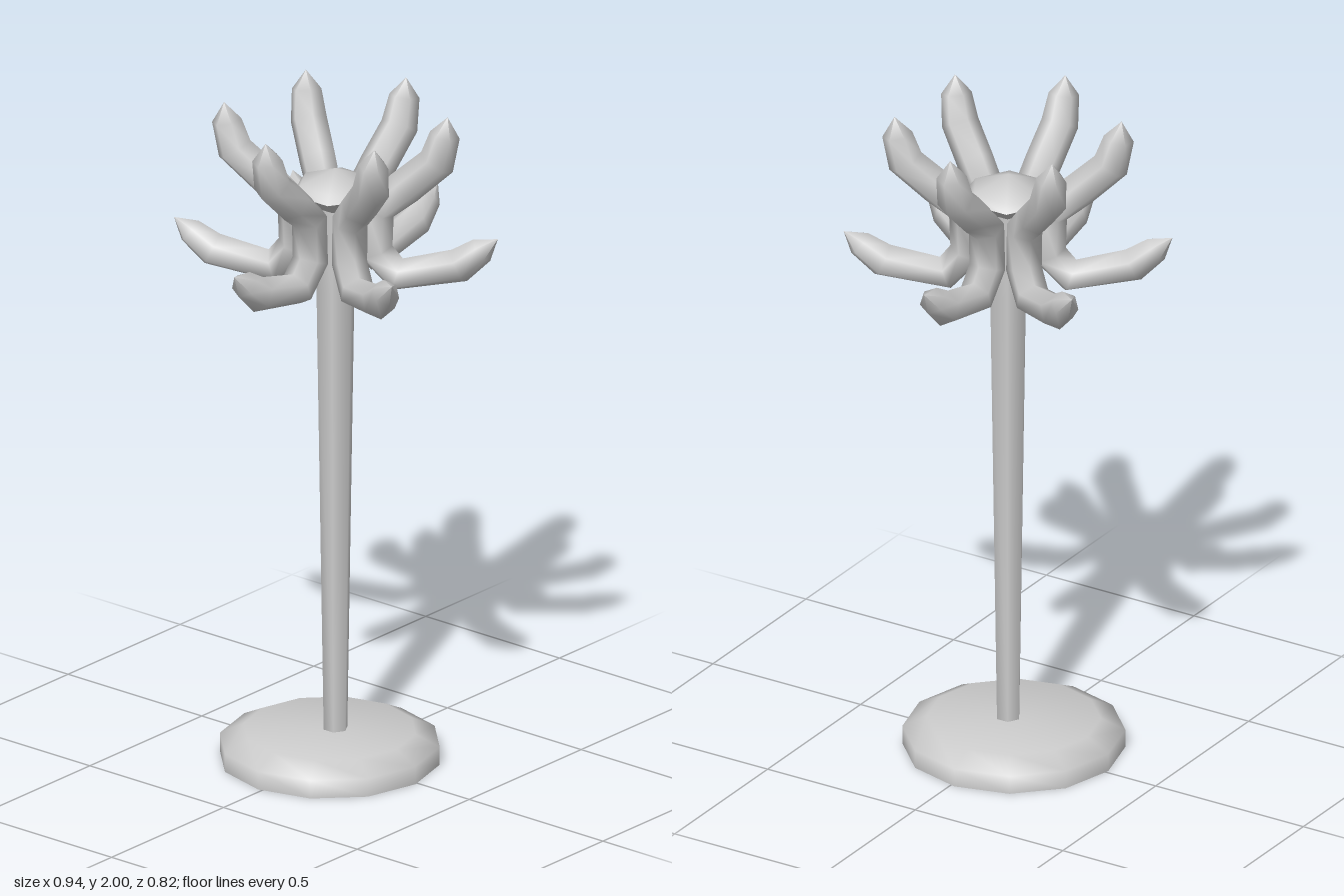
import * as THREE from 'three';
import { toCreasedNormals } from 'three/addons/utils/BufferGeometryUtils.js';

const material = new THREE.MeshStandardMaterial({ color: 0xcccccc });
const SIDES = 6;

function lathe(name, profile, sides, crease) {
  const points = profile.map(([r, y]) => new THREE.Vector2(r, y));
  const geometry = toCreasedNormals(new THREE.LatheGeometry(points, sides), crease);
  const mesh = new THREE.Mesh(geometry, material);
  mesh.name = name;
  return mesh;
}

// Six-sided bar swept along a path of [x, y, radius] in the XY plane.
// A radius of 0 closes the bar with a point.
function sweptBar(path) {
  const positions = [], indices = [];
  path.forEach(([x, y, r], i) => {
    const p = new THREE.Vector2(x, y);
    const at = (k) => new THREE.Vector2(path[k][0], path[k][1]);
    const tangent = new THREE.Vector2();
    if (i > 0) tangent.add(p.clone().sub(at(i - 1)).normalize());
    if (i < path.length - 1) tangent.add(at(i + 1).sub(p).normalize());
    tangent.normalize();
    for (let j = 0; j < SIDES; j++) {
      const a = (j / SIDES) * Math.PI * 2;
      const side = Math.cos(a) * r;
      positions.push(x - tangent.y * side, y + tangent.x * side, Math.sin(a) * r);
      if (i < path.length - 1) {
        const b = i * SIDES + j, c = i * SIDES + (j + 1) % SIDES;
        if (r > 0) indices.push(b, c, b + SIDES);
        if (path[i + 1][2] > 0) indices.push(c, c + SIDES, b + SIDES);
      }
    }
  });
  const geometry = new THREE.BufferGeometry();
  geometry.setAttribute('position', new THREE.Float32BufferAttribute(positions, 3));
  geometry.setIndex(indices);
  geometry.computeVertexNormals();
  return geometry;
}

export function createModel() {
  const group = new THREE.Group();

  // Round foot with a bevelled rim
  const base = lathe('base', [[0, 0], [0.32, 0], [0.32, 0.055], [0.25, 0.09], [0, 0.092]], 12, 1.3);
  base.position.set(-0.01, 0, -0.013);
  group.add(base);

  // Pole widening upwards, and the pointed cap over the hooks
  group.add(lathe('pole', [[0.036, 0.08], [0.058, 1.45], [0.058, 1.76]], SIDES, 1.2));
  group.add(lathe('cap', [[0.05, 1.70], [0.13, 1.755], [0.11, 1.78], [0, 1.822]], SIDES, 1.2));

  // Double hooks: a long lower hook, an upright against the pole, an upper hook
  const hookGeometry = sweptBar([
    [0.472, 1.633, 0],
    [0.425, 1.596, 0.04],
    [0.36, 1.545, 0.052],
    [0.18, 1.506, 0.052],
    [0.117, 1.575, 0.052],
    [0.122, 1.705, 0.052],
    [0.2, 1.775, 0.054],
    [0.295, 1.86, 0.054],
    [0.318, 1.945, 0.044],
    [0.326, 2.0, 0],
  ]);
  const hooks = new THREE.Group();
  hooks.name = 'hooks';
  [-1.5, 59.5, 120, 178, 241.5, 305].forEach((degrees) => {
    const hook = new THREE.Mesh(hookGeometry, material);
    hook.name = 'doubleHook';
    hook.rotation.y = -THREE.MathUtils.degToRad(degrees);
    hooks.add(hook);
  });
  group.add(hooks);

  return group;
}
